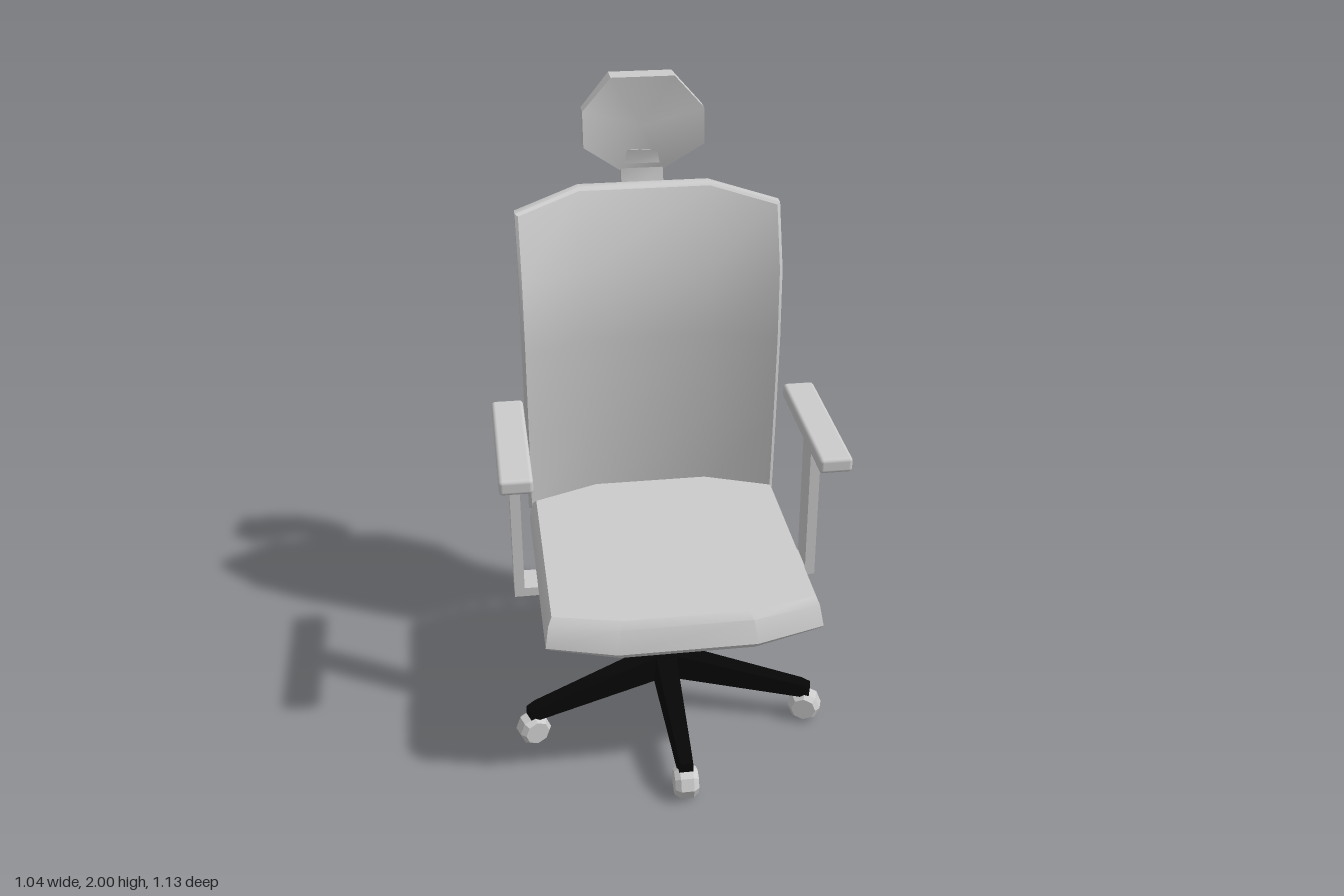
import * as THREE from 'three';
import { toCreasedNormals } from 'three/addons/utils/BufferGeometryUtils.js';
import { RoundedBoxGeometry } from 'three/addons/geometries/RoundedBoxGeometry.js';

const grey = new THREE.MeshStandardMaterial({ color: 0xcccccc });
const black = new THREE.MeshStandardMaterial({ color: 0x060606 });

function part(name, geometry, material = grey) {
  const mesh = new THREE.Mesh(geometry, material);
  mesh.name = name;
  return mesh;
}

// Triangles from a list of quads and triangles of [x, y, z] corners
function fromFaces(faces, crease = 0.6) {
  const pos = [];
  for (const [a, b, c, d] of faces) {
    pos.push(...a, ...b, ...c);
    if (d) pos.push(...a, ...c, ...d);
  }
  const geo = new THREE.BufferGeometry();
  geo.setAttribute('position', new THREE.Float32BufferAttribute(pos, 3));
  return toCreasedNormals(geo, crease);
}

// Walls between successive loops (counter-clockwise seen from the end loop)
function walls(rings) {
  const faces = [];
  for (let k = 0; k < rings.length - 1; k++) {
    const a = rings[k], b = rings[k + 1], n = a.length;
    for (let i = 0; i < n; i++) {
      const j = (i + 1) % n;
      faces.push([a[i], a[j], b[j], b[i]]);
    }
  }
  return faces;
}

const middle = (ring) => [0, 1, 2].map((k) => ring.reduce((s, p) => s + p[k], 0) / ring.length);

// Closed solid from loops, with fan caps around given or average centres
function solid(rings, startCentre, endCentre, crease) {
  const faces = walls(rings);
  const first = rings[0], last = rings[rings.length - 1], n = first.length;
  const s = startCentre || middle(first), e = endCentre || middle(last);
  for (let i = 0; i < n; i++) {
    const j = (i + 1) % n;
    faces.push([s, first[j], first[i]], [e, last[i], last[j]]);
  }
  return fromFaces(faces, crease);
}

// Seat cushion: bowed front and back edges, softened top edge
function makeSeat() {
  const outline = [[0.42, 0.46], [0.42, -0.3], [0.21, -0.385], [-0.21, -0.385],
    [-0.42, -0.3], [-0.42, 0.46], [-0.21, 0.51], [0.21, 0.51]];
  const ring = (y, inset, lift = 0) => outline.map(([x, z]) => [
    x - Math.sign(x) * inset * 0.6,
    y + (Math.abs(x) > 0.3 ? lift : 0),
    z - Math.sign(z) * inset,
  ]);
  return part('seat', solid([ring(0.532, 0.012, 0.014), ring(0.55, 0, 0.01), ring(0.625, 0.018), ring(0.645, 0.038)]));
}

// Backrest: bent sheet in front, raised rim around a recessed back
function makeBackrest() {
  const spine = [[0.585, -0.31], [0.88, -0.288], [1.18, -0.27], [1.42, -0.275], [1.62, -0.348]];
  const cornerZ = (y) => {
    let k = 0;
    while (k < spine.length - 2 && y > spine[k + 1][0]) k++;
    const [y0, z0] = spine[k], [y1, z1] = spine[k + 1];
    return z0 + ((z1 - z0) * (y - y0)) / (y1 - y0);
  };
  const sheet = (side, top, bottom, depth) => {
    const rows = [0.585 + bottom, 0.88, 1.18, 1.42, 1.62 - top];
    const cols = [-0.42 + side, -0.21, 0.21, 0.42 - side];
    return rows.map((y, r) => cols.map((x) => {
      const t = Math.min(1, (0.42 - Math.abs(x)) / 0.21);
      const bow = 0.08 + 0.03 * THREE.MathUtils.smoothstep(y, 1.42, 1.62);
      return [x, y + (r === 4 ? 0.04 * t : 0), cornerZ(y) - bow * t - depth];
    }));
  };
  const border = (g) => [
    ...g[0], ...g.slice(1, -1).map((row) => row[3]),
    ...[...g[4]].reverse(), ...g.slice(1, -1).reverse().map((row) => row[0]),
  ];
  const front = sheet(0.01, 0.008, 0.008, 0);
  const recess = sheet(0.045, 0.04, 0.08, 0.025);
  const faces = walls([recess, sheet(0.035, 0.035, 0.075, 0.055), sheet(0.006, 0.004, 0.004, 0.055),
    sheet(0, 0, 0, 0.045), sheet(0, 0, 0, 0.01), front].map(border));
  for (let r = 0; r < 4; r++) {
    for (let c = 0; c < 3; c++) {
      faces.push([front[r][c], front[r][c + 1], front[r + 1][c + 1], front[r + 1][c]]);
      faces.push([recess[r][c], recess[r + 1][c], recess[r + 1][c + 1], recess[r][c + 1]]);
    }
  }
  return part('backrest', fromFaces(faces));
}

// Headrest: dished eight-sided pad on a leaning neck
function makeHeadrest() {
  const group = new THREE.Group();
  group.name = 'headrest';
  // x, y, front z, back z
  const half = [[0.068, 1.69, -0.527, -0.56], [0.192, 1.79, -0.458, -0.512],
    [0.192, 1.9, -0.475, -0.53], [0.1, 2.0, -0.487, -0.563]];
  const outline = [...half, ...half.map(([x, ...rest]) => [-x, ...rest]).reverse()];
  const front = outline.map(([x, y, zf]) => [x, y, zf]);
  const back = outline.map(([x, y, , zb]) => [x, y, zb]);
  group.add(part('headPad', solid([back, front], [0, 1.86, -0.55], [0, 1.84, -0.51], 0.7)));
  const bar = (y, zb, zf) => [[-0.068, y, zf], [0.068, y, zf], [0.068, y, zb], [-0.068, y, zb]];
  group.add(part('headrestNeck', solid([bar(1.605, -0.525, -0.495), bar(1.7, -0.56, -0.527), bar(1.76, -0.54, -0.515)])));
  return group;
}

// Armrests: one bent strap under the seat carrying two pads
function makeArmrests() {
  const group = new THREE.Group();
  group.name = 'armrests';
  const outer = [[0.487, 1.02], [0.487, 0.5], [0.32, 0.5], [0.29, 0.456]];
  const inner = [[0.275, 0.484], [0.305, 0.53], [0.455, 0.53], [0.455, 1.02]];
  const mirror = (pts) => pts.map(([x, y]) => [-x, y]).reverse();
  const pts = [...outer, ...mirror(outer), ...mirror(inner), ...inner];
  const shape = new THREE.Shape(pts.map(([x, y]) => new THREE.Vector2(x, y)));
  const strap = new THREE.ExtrudeGeometry(shape, { depth: 0.105, bevelEnabled: false });
  strap.translate(0, 0, -0.02);
  group.add(part('armStrap', strap));
  for (const side of [-1, 1]) {
    const pad = part(side > 0 ? 'leftArmPad' : 'rightArmPad', new RoundedBoxGeometry(0.1, 0.048, 0.53, 2, 0.012));
    pad.position.set(side * 0.472, 1.035, 0.065);
    group.add(pad);
  }
  return group;
}

// Tilt block and gas column
function makeColumn() {
  const group = new THREE.Group();
  group.name = 'column';
  const quarter = [[0.062, 0.045], [0.062, -0.045], [0.035, -0.098], [-0.035, -0.098],
    [-0.062, -0.045], [-0.062, 0.045], [-0.035, 0.098], [0.035, 0.098]];
  const ring = (y) => quarter.map(([x, z]) => [x, y, z]);
  group.add(part('tiltBlock', solid([ring(0.435), ring(0.488)])));
  for (const [name, r, y0, y1] of [['gasRod', 0.012, 0.29, 0.45], ['gasCylinder', 0.025, 0.07, 0.31]]) {
    const tube = part(name, new THREE.CylinderGeometry(r, r, y1 - y0, 10));
    tube.position.y = (y0 + y1) / 2;
    group.add(tube);
  }
  return group;
}

// Five-legged base with casters
function makeBase() {
  const group = new THREE.Group();
  group.name = 'base';
  const hub = part('hub', new THREE.CylinderGeometry(0.055, 0.045, 0.088, 10), black);
  hub.position.y = 0.17;
  group.add(hub);
  const section = (z, w, y0, y1) => [[-w, y0, z], [w, y0, z], [w * 0.8, y1, z], [-w * 0.8, y1, z]];
  const legGeo = solid([section(0, 0.042, 0.13, 0.214), section(0.05, 0.042, 0.128, 0.212),
    section(0.46, 0.027, 0.095, 0.14), section(0.49, 0.022, 0.097, 0.13)]);
  const profile = [[0, -0.037], [0.04, -0.037], [0.053, -0.02], [0.053, 0.02], [0.04, 0.037], [0, 0.037]];
  const lathe = new THREE.LatheGeometry(profile.map(([x, y]) => new THREE.Vector2(x, y)), 8);
  const wheelGeo = toCreasedNormals(lathe.rotateZ(Math.PI / 2), 0.5);
  for (let i = 0; i < 5; i++) {
    const arm = new THREE.Group();
    arm.name = 'baseLeg' + (i + 1);
    arm.rotation.y = (i * Math.PI * 2) / 5;
    const wheel = part('caster', wheelGeo);
    wheel.position.set(0, 0.052, 0.475);
    const stem = part('casterStem', new THREE.CylinderGeometry(0.014, 0.014, 0.05, 8));
    stem.position.set(0, 0.1, 0.465);
    arm.add(part('leg', legGeo, black), wheel, stem);
    group.add(arm);
  }
  return group;
}

export function createModel() {
  const chair = new THREE.Group();
  chair.name = 'officeChair';
  const upper = [makeSeat(), makeBackrest(), makeHeadrest()];
  upper.forEach((p) => { p.position.x = 0.006; });
  const lower = [makeColumn(), makeBase()];
  lower.forEach((p) => { p.position.z = 0.035; });
  chair.add(...upper, makeArmrests(), ...lower);
  return chair;
}
